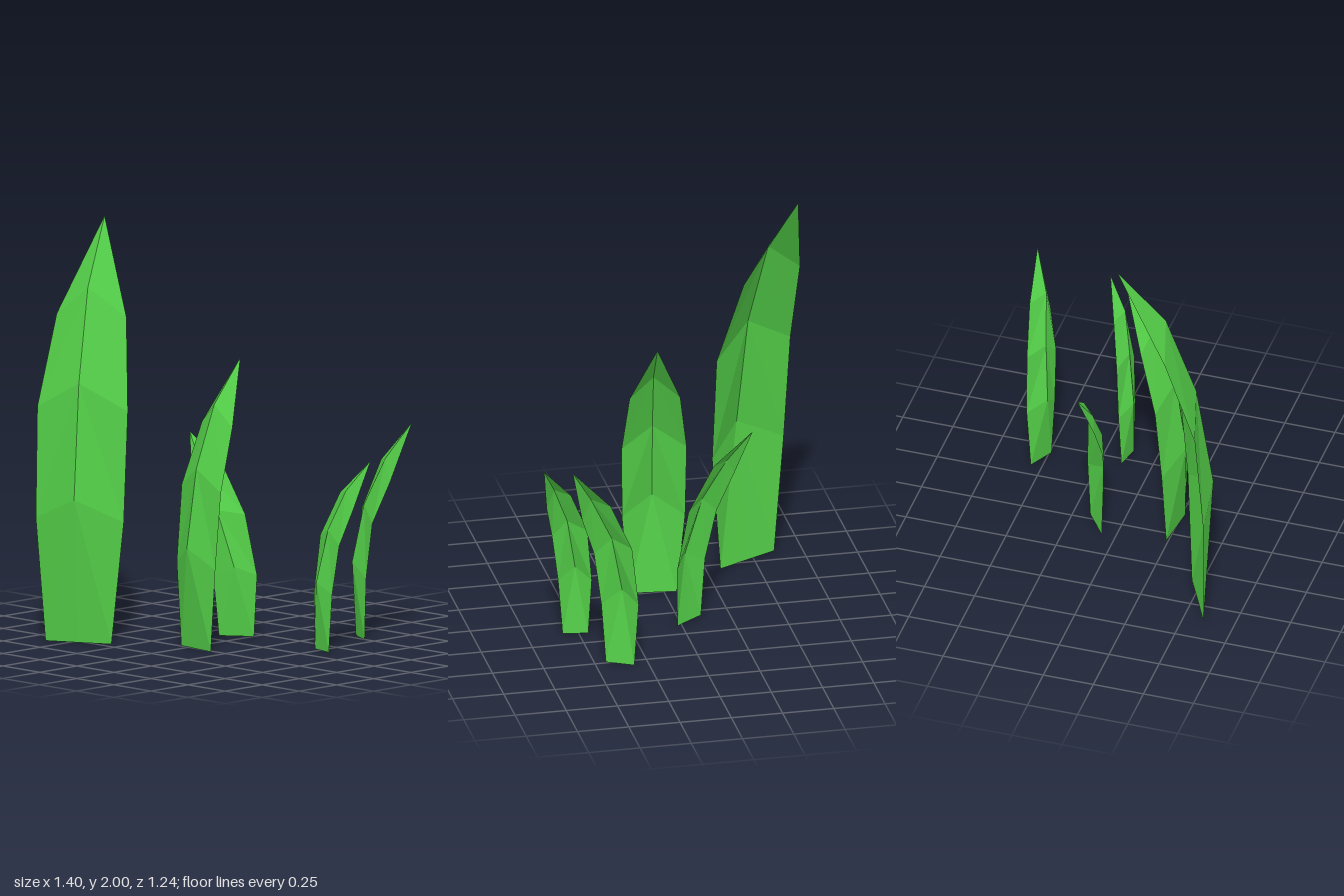
import * as THREE from 'three';

// Each blade: rows of [left, ridge, right] points from ground upward, then a single tip.
const BLADES = {
  tallBlade: {
    rows: [
      [[-0.615, 0, 0.6], [-0.468, 0, 0.527], [-0.32, 0, 0.45]],
      [[-0.665, 0.59, 0.615], [-0.43, 0.7, 0.592], [-0.272, 0.59, 0.415]],
      [[-0.69, 1.12, 0.58], [-0.47, 1.25, 0.52], [-0.285, 1.12, 0.375]],
      [[-0.705, 1.55, 0.435], [-0.54, 1.69, 0.39], [-0.395, 1.55, 0.275]],
    ],
    tip: [-0.64, 2, 0.178],
  },
  middleBlade: {
    rows: [
      [[-0.06, 0, 0.24], [0.052, 0, 0.253], [0.165, 0, 0.265]],
      [[-0.1, 0.4, 0.23], [0.045, 0.49, 0.307], [0.2, 0.4, 0.27]],
      [[-0.1, 0.77, 0.197], [0.055, 0.87, 0.253], [0.208, 0.77, 0.24]],
      [[-0.05, 1.07, 0.11], [0.072, 1.17, 0.15], [0.19, 1.07, 0.145]],
    ],
    tip: [0.088, 1.38, -0.01],
  },
  rearBlade: {
    rows: [
      [[-0.112, 0.005, -0.065], [-0.042, 0.005, -0.115], [0.025, 0.005, -0.165]],
      [[-0.135, 0.29, -0.05], [-0.03, 0.345, -0.085], [0.03, 0.3, -0.18]],
      [[-0.197, 0.53, -0.028], [-0.12, 0.61, -0.06], [-0.03, 0.59, -0.16]],
      [[-0.28, 0.73, -0.05], [-0.235, 0.8, -0.07], [-0.158, 0.81, -0.14]],
    ],
    tip: [-0.355, 0.96, -0.11],
  },
  backRightBlade: {
    rows: [
      [[0.32, 0, -0.555], [0.383, 0, -0.522], [0.445, 0, -0.49]],
      [[0.302, 0.32, -0.57], [0.365, 0.37, -0.485], [0.465, 0.3, -0.48]],
      [[0.337, 0.62, -0.58], [0.42, 0.65, -0.51], [0.502, 0.57, -0.485]],
      [[0.445, 0.86, -0.6], [0.53, 0.88, -0.543], [0.57, 0.77, -0.535]],
    ],
    tip: [0.635, 1.06, -0.62],
  },
  sideBlade: {
    rows: [
      [[0.455, 0, -0.145], [0.515, 0, -0.133], [0.575, 0, -0.12]],
      [[0.44, 0.28, -0.155], [0.51, 0.335, -0.1], [0.597, 0.28, -0.12]],
      [[0.465, 0.55, -0.172], [0.555, 0.59, -0.135], [0.63, 0.52, -0.135]],
      [[0.555, 0.76, -0.215], [0.63, 0.78, -0.18], [0.668, 0.69, -0.19]],
    ],
    tip: [0.7, 0.923, -0.277],
  },
};

// Folded leaf sheet lofted through the rows and closed to a point
function bladeGeometry({ rows, tip }) {
  const index = [];
  for (let r = 0; r < rows.length - 1; r++) {
    for (let c = 0; c < 2; c++) {
      const a = r * 3 + c, b = a + 1, d = a + 3, e = a + 4;
      // diagonals mirrored about the ridge
      if (c === 0) index.push(a, b, e, a, e, d);
      else index.push(a, b, d, b, e, d);
    }
  }
  const last = (rows.length - 1) * 3, top = rows.length * 3;
  index.push(last, last + 1, top, last + 1, last + 2, top);

  const geometry = new THREE.BufferGeometry();
  geometry.setAttribute('position', new THREE.Float32BufferAttribute([...rows.flat(2), ...tip], 3));
  geometry.setIndex(index);
  const faceted = geometry.toNonIndexed();
  faceted.computeVertexNormals();
  return faceted;
}

export function createModel() {
  const group = new THREE.Group();
  group.name = 'grassBlades';
  const green = new THREE.MeshStandardMaterial({
    color: 0x52cc47, flatShading: true, side: THREE.DoubleSide,
  });
  for (const [name, blade] of Object.entries(BLADES)) {
    const mesh = new THREE.Mesh(bladeGeometry(blade), green);
    mesh.name = name;
    group.add(mesh);
  }
  return group;
}
